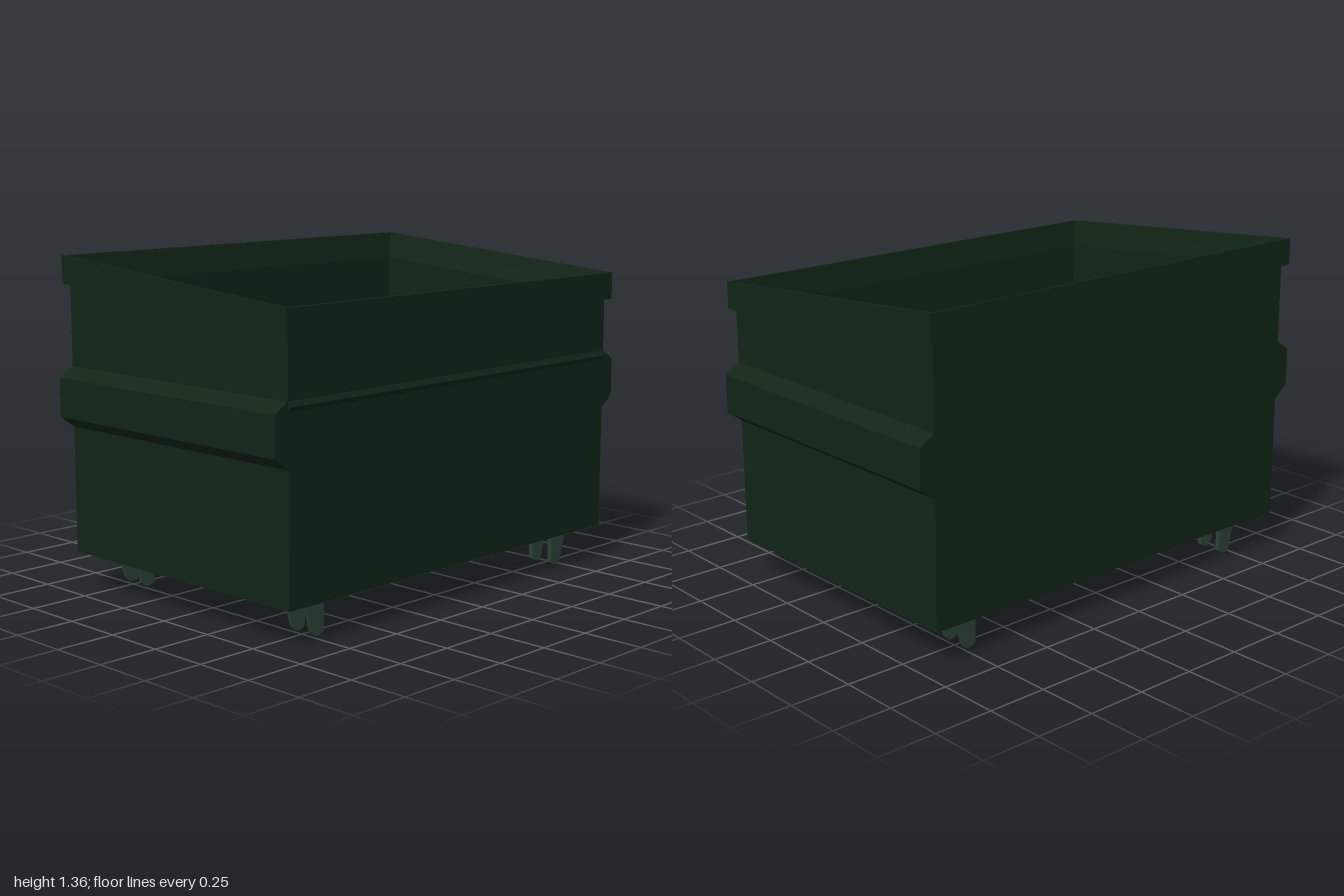
import * as THREE from 'three';

const SLOPE = -0.0865; // the open top rises toward the back
const rimBottom = (z) => 1.195 + SLOPE * z;
const rimTop = (z) => 1.307 + SLOPE * z;
const level = (y) => () => y;

// Flat-sided skin through rectangular rings [halfX, halfZ, heightAt(z)]
function loftRings(rings) {
  const signs = [[1, 1], [1, -1], [-1, -1], [-1, 1]];
  const corners = rings.map(([x, z, y]) => signs.map(([sx, sz]) => [sx * x, y(sz * z), sz * z]));
  const pos = [];
  for (let r = 0; r < rings.length - 1; r++) {
    for (let i = 0; i < 4; i++) {
      const j = (i + 1) % 4;
      const a = corners[r][i], b = corners[r][j], c = corners[r + 1][j], d = corners[r + 1][i];
      pos.push(...a, ...b, ...c, ...a, ...c, ...d);
    }
  }
  const geo = new THREE.BufferGeometry();
  geo.setAttribute('position', new THREE.Float32BufferAttribute(pos, 3));
  geo.computeVertexNormals();
  return geo;
}

// Profile in x/y extruded along z, centred on z = 0
function prism(points, depth) {
  const shape = new THREE.Shape(points.map(([x, y]) => new THREE.Vector2(x, y)));
  const geo = new THREE.ExtrudeGeometry(shape, { depth, bevelEnabled: false });
  return geo.translate(0, 0, -depth / 2);
}

export function createModel() {
  const model = new THREE.Group();
  model.name = 'wasteContainer';
  const green = new THREE.MeshStandardMaterial({ color: 0x112416, flatShading: true });
  const legGreen = new THREE.MeshStandardMaterial({ color: 0x2a4035, flatShading: true });

  const add = (name, geo, mat = green) => {
    const mesh = new THREE.Mesh(geo, mat);
    mesh.name = name;
    model.add(mesh);
    return mesh;
  };

  // Outer walls and underside
  add('outerShell', loftRings([
    [0, 0, level(0.15)], [0.935, 0.625, level(0.15)], [0.935, 0.625, rimBottom],
  ]));

  // Raised rim around the sloped opening
  add('rim', loftRings([
    [0.935, 0.625, rimBottom], [0.96, 0.645, rimBottom], [0.96, 0.645, rimTop], [0.945, 0.632, rimTop],
  ]));

  // Inner walls and floor
  add('innerShell', loftRings([
    [0.945, 0.632, rimTop], [0.925, 0.617, rimBottom], [0.925, 0.617, level(0.16)], [0, 0, level(0.16)],
  ]));

  // Lifting sleeves on both sides
  const sleeve = [[0.93, 0.67], [0.935, 0.67], [1, 0.718], [1, 0.877], [0.935, 0.918], [0.93, 0.918]];
  add('leftSleeve', prism(sleeve, 1.25));
  add('rightSleeve', prism(sleeve, 1.25)).rotation.y = Math.PI;

  // Pressed ridge across the front
  const ridge = prism([[0.62, 0.878], [0.625, 0.878], [0.638, 0.898], [0.625, 0.918], [0.62, 0.918]], 1.87);
  add('frontRidge', ridge.rotateY(-Math.PI / 2));

  // Paired caster plates at the four corners
  const plate = [[0.69, 0.155], [0.69, 0.015], [0.705, 0.004], [0.725, 0], [0.742, 0.005],
    [0.752, 0.02], [0.77, 0.09], [0.79, 0.15], [0.79, 0.155]];
  const mirrored = plate.map(([x, y]) => [-x, y]);
  for (const z of [0.547, 0.446, -0.443, -0.545]) {
    add('leftCasterPlate', prism(plate, 0.02), legGreen).position.z = z;
    add('rightCasterPlate', prism(mirrored, 0.02), legGreen).position.z = z;
  }

  return model;
}
